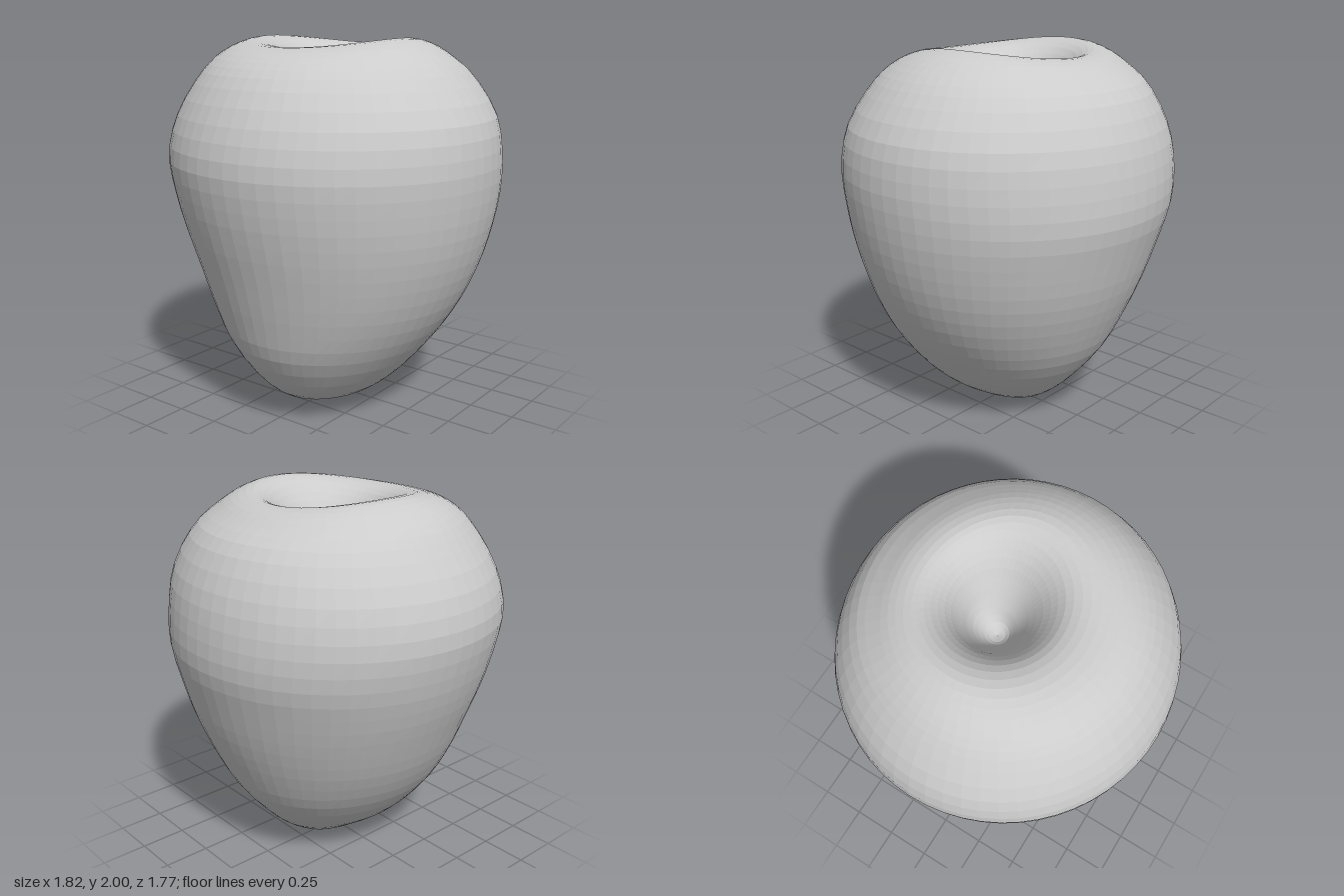
import * as THREE from 'three';

// Cross-sections from the base, up over the rim and down into the stem hollow:
// [height, left edge x, right edge x, back edge z, front edge z, dip at front and back]
const SECTIONS = [
  [0.00, 0.03, 0.03, -0.02, -0.02, 0],
  [0.02, -0.09, 0.13, -0.18, 0.13, 0],
  [0.10, -0.23, 0.29, -0.32, 0.42, 0],
  [0.20, -0.36, 0.41, -0.43, 0.54, 0],
  [0.40, -0.53, 0.58, -0.59, 0.67, 0],
  [0.60, -0.65, 0.71, -0.69, 0.73, 0],
  [0.80, -0.74, 0.80, -0.77, 0.78, 0],
  [1.00, -0.82, 0.86, -0.83, 0.83, 0],
  [1.20, -0.88, 0.895, -0.88, 0.87, 0],
  [1.40, -0.91, 0.905, -0.875, 0.885, 0],
  [1.60, -0.865, 0.87, -0.83, 0.83, 0],
  [1.80, -0.745, 0.74, -0.72, 0.71, 0],
  [1.90, -0.66, 0.64, -0.60, 0.61, 0.01],
  [1.97, -0.56, 0.53, -0.51, 0.50, 0.03],
  [2.00, -0.46, 0.42, -0.42, 0.38, 0.045],
  [1.97, -0.36, 0.33, -0.36, 0.28, 0.04],
  [1.88, -0.27, 0.24, -0.29, 0.20, 0.02],
  [1.75, -0.20, 0.16, -0.23, 0.12, 0],
  [1.62, -0.13, 0.08, -0.17, 0.05, 0],
  [1.54, -0.07, 0.03, -0.10, 0.00, 0],
  [1.52, -0.02, -0.02, -0.05, -0.05, 0],
];
const AROUND = 60;
const ALONG = 50;

// One meridian of the fruit, from the base to the bottom of the hollow
function meridian(angle) {
  const c = Math.cos(angle), s = Math.sin(angle);
  const points = SECTIONS.map(([y, left, right, back, front, dip]) => new THREE.Vector3(
    (left + right) / 2 + c * (right - left) / 2,
    y - dip * s * s,
    (back + front) / 2 + s * (front - back) / 2,
  ));
  return new THREE.CatmullRomCurve3(points, false, 'centripetal').getPoints(ALONG);
}

function fruitGeometry() {
  const positions = [], indices = [];
  for (let i = 0; i < AROUND; i++) {
    for (const p of meridian(i / AROUND * Math.PI * 2)) positions.push(p.x, p.y, p.z);
  }
  const row = ALONG + 1;
  for (let i = 0; i < AROUND; i++) {
    const next = (i + 1) % AROUND;
    for (let j = 0; j < ALONG; j++) {
      const a = i * row + j, c = next * row + j;
      if (j > 0) indices.push(a, a + 1, c);
      if (j < ALONG - 1) indices.push(a + 1, c + 1, c);
    }
  }
  const geometry = new THREE.BufferGeometry();
  geometry.setAttribute('position', new THREE.Float32BufferAttribute(positions, 3));
  geometry.setIndex(indices);
  geometry.computeVertexNormals();
  return geometry;
}

export function createModel() {
  const group = new THREE.Group();
  group.name = 'apple';
  // Fruit body with the hollow at the top
  const material = new THREE.MeshStandardMaterial({ color: 0xcccccc, flatShading: true });
  const body = new THREE.Mesh(fruitGeometry(), material);
  body.name = 'fruitBody';
  group.add(body);
  return group;
}
